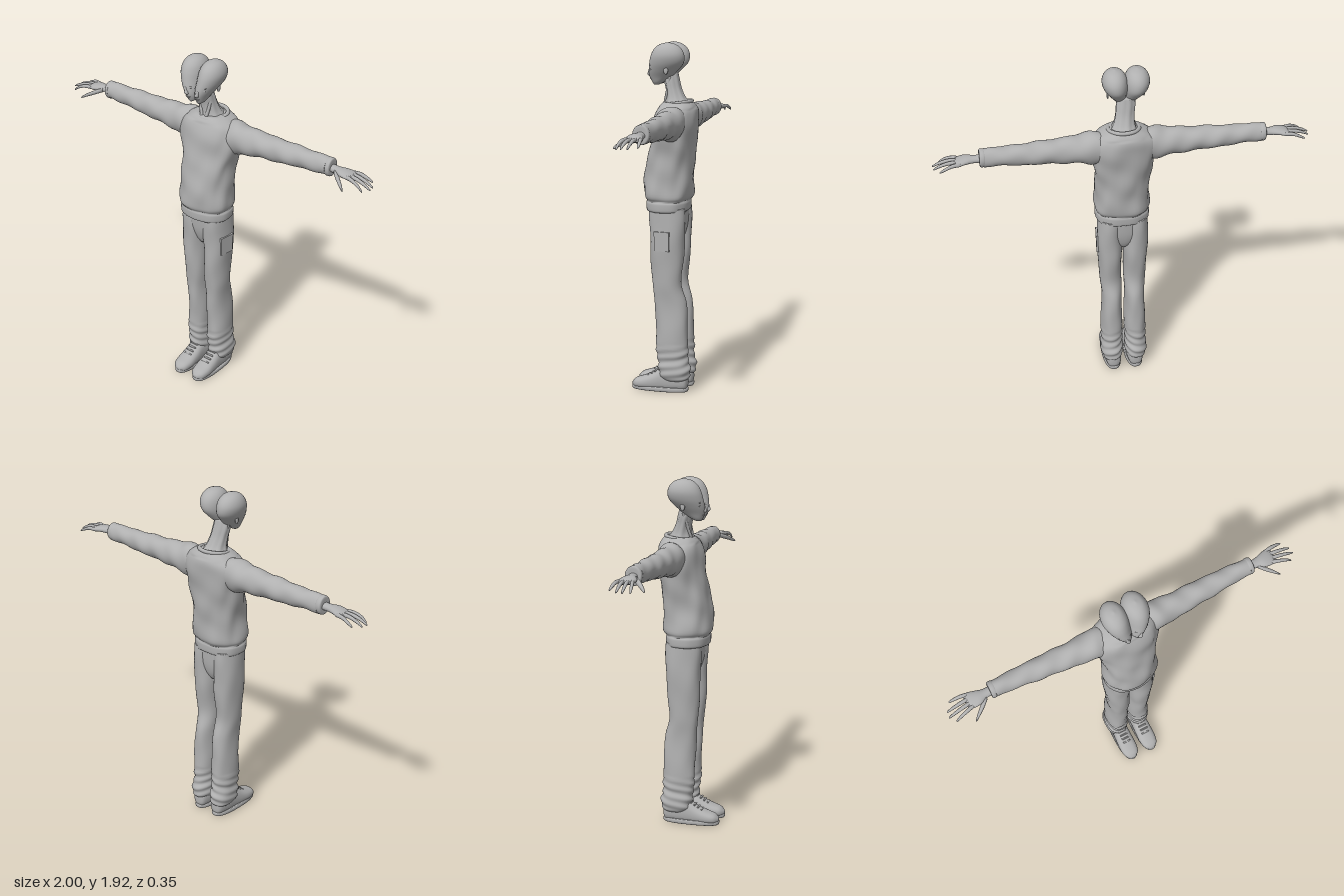
import * as THREE from 'three';

const grey = new THREE.MeshStandardMaterial({ color: 0xb0b0b0 });
grey.name = 'plain grey';

// Catmull-Rom blend of four values
function spline(a, b, c, d, t) {
  const v0 = (c - a) / 2, v1 = (d - b) / 2;
  return (2 * b - 2 * c + v0 + v1) * t ** 3 + (3 * c - 3 * b - 2 * v0 - v1) * t * t + v0 * t + b;
}

// Closed body through oval sections [position on axis, centre a, centre b, radius a, radius b].
// Centres are (x,z) for axis y, (y,z) for axis x, (x,y) for axis z.
function loft(axis, rows, { seg = 32, steps = 5, square = 1, fold = () => 0 } = {}) {
  const pos = [], idx = [];
  const place = (t, a, b, da, db) => {
    if (axis === 'y') pos.push(a + da, t, b + db);
    else if (axis === 'x') pos.push(t, a - da, b + db);
    else pos.push(a - da, b + db, t);
  };
  const soft = (v) => Math.sign(v) * Math.abs(v) ** square;
  const rings = (rows.length - 1) * steps + 1;
  for (let r = 0; r < rings; r++) {
    const i = Math.min(Math.floor(r / steps), rows.length - 2), f = r / steps - i;
    const at = (k) => rows[Math.max(0, Math.min(rows.length - 1, k))];
    const [t, a, b, ra, rb] = rows[0].map((_, k) =>
      spline(at(i - 1)[k], at(i)[k], at(i + 1)[k], at(i + 2)[k], f));
    for (let s = 0; s < seg; s++) {
      const th = (s / seg) * Math.PI * 2, w = 1 + fold(t, th);
      place(t, a, b, ra * w * soft(Math.cos(th)), rb * w * soft(Math.sin(th)));
    }
  }
  for (let r = 0; r < rings - 1; r++) for (let s = 0; s < seg; s++) {
    const p = r * seg + s, q = r * seg + (s + 1) % seg;
    idx.push(p, p + seg, q, q, p + seg, q + seg);
  }
  // end caps
  const first = rows[0], last = rows[rows.length - 1], c0 = pos.length / 3, top = (rings - 1) * seg;
  place(first[0], first[1], first[2], 0, 0);
  place(last[0], last[1], last[2], 0, 0);
  for (let s = 0; s < seg; s++) {
    const n = (s + 1) % seg;
    idx.push(c0, s, n, c0 + 1, top + n, top + s);
  }
  const g = new THREE.BufferGeometry();
  g.setAttribute('position', new THREE.Float32BufferAttribute(pos, 3));
  g.setIndex(idx);
  g.computeVertexNormals();
  return g;
}

// Copy a geometry to the other side of x = 0
function mirrored(geo) {
  const g = geo.clone(), p = g.attributes.position, i = g.index.array;
  for (let k = 0; k < p.count; k++) p.setX(k, -p.getX(k));
  for (let k = 0; k < i.length; k += 3) [i[k], i[k + 1]] = [i[k + 1], i[k]];
  g.computeVertexNormals();
  return g;
}

function add(group, name, geo) {
  const m = new THREE.Mesh(geo, grey);
  m.name = name;
  group.add(m);
}

function addPair(group, name, geo) {
  add(group, 'left' + name, geo);
  add(group, 'right' + name, mirrored(geo));
}

const ball = (x, y, z, rx, ry, rz) =>
  new THREE.SphereGeometry(1, 16, 12).scale(rx, ry, rz).translate(x, y, z);

// Cloth folds
const torsoFold = (y, a) => y > 1.57 || y < 1.07 ? 0.008 * Math.sin(9 * a)
  : 0.022 * Math.sin(5 * a + 22 * y) + 0.014 * Math.sin(3 * a - 40 * y + 1) + 0.008 * Math.sin(11 * a + 15 * y);
const sleeveFold = (x, a) => 0.035 * Math.sin(2 * a + 48 * x) + 0.025 * Math.sin(3 * a - 31 * x + 1);
const legFold = (y, a) => (y < 0.26 ? 0.045 * Math.sin(130 * y + 2 * a) : 0.022 * Math.sin(24 * y + 2 * a))
  + 0.015 * Math.sin(5 * a - 17 * y);

function buildHead(side) {
  const head = new THREE.Group();
  head.name = side > 0 ? 'leftHead' : 'rightHead';
  // narrow jaw widening into a domed skull, leaning outward; x centre is relative to the pair
  const skull = loft('y', [
    [1.693, 0.026, 0.05, 0.008, 0.014], [1.705, 0.027, 0.042, 0.022, 0.03],
    [1.735, 0.031, 0.026, 0.036, 0.06], [1.77, 0.041, 0.008, 0.05, 0.08],
    [1.81, 0.052, -0.012, 0.062, 0.094], [1.85, 0.058, -0.02, 0.066, 0.092],
    [1.885, 0.059, -0.022, 0.057, 0.076], [1.91, 0.059, -0.022, 0.036, 0.046],
    [1.921, 0.059, -0.022, 0.004, 0.005]]);
  const nose = loft('y', [
    [1.738, 0.033, 0.082, 0.006, 0.006], [1.748, 0.034, 0.087, 0.012, 0.012],
    [1.765, 0.039, 0.084, 0.008, 0.01], [1.795, 0.047, 0.076, 0.005, 0.006]], { seg: 12, steps: 3 });
  const parts = [['skull', skull], ['nose', nose],
    ['upperLip', ball(0.03, 1.726, 0.078, 0.015, 0.004, 0.008)],
    ['lowerLip', ball(0.029, 1.718, 0.072, 0.013, 0.004, 0.008)],
    ['outerEye', ball(0.066, 1.778, 0.068, 0.012, 0.007, 0.008)],
    ['innerEye', ball(0.022, 1.778, 0.071, 0.012, 0.007, 0.008)],
    ['outerBrow', ball(0.068, 1.797, 0.068, 0.016, 0.005, 0.008)],
    ['ear', ball(0.095, 1.775, -0.02, 0.006, 0.022, 0.013)]];
  for (const [name, geo] of parts) add(head, name, side > 0 ? geo : mirrored(geo));
  head.position.x = -0.02;
  return head;
}

export function createModel() {
  const model = new THREE.Group();
  model.name = 'twoHeadedFigure';
  model.add(buildHead(1), buildHead(-1));

  // Shared neck with raised cords
  add(model, 'neck', loft('y', [
    [1.55, 0, -0.065, 0.085, 0.08], [1.59, -0.002, -0.065, 0.07, 0.07],
    [1.625, -0.006, -0.055, 0.056, 0.052], [1.67, -0.012, -0.042, 0.05, 0.042],
    [1.72, -0.018, -0.028, 0.05, 0.042], [1.76, -0.02, -0.02, 0.045, 0.04]],
    { fold: (y, a) => 0.05 * Math.sin(8 * a + 6 * y) }));
  for (const s of [-1, 1]) {
    const path = new THREE.CatmullRomCurve3([
      new THREE.Vector3(-0.005 + s * 0.012, 1.585, 0.005), new THREE.Vector3(-0.01 + s * 0.028, 1.65, -0.012),
      new THREE.Vector3(-0.02 + s * 0.045, 1.74, -0.03)]);
    add(model, s > 0 ? 'leftNeckCord' : 'rightNeckCord', new THREE.TubeGeometry(path, 12, 0.009, 8));
  }

  // Loose sweater with gathered hem
  add(model, 'sweater', loft('y', [
    [1.01, 0, -0.018, 0.138, 0.108], [1.02, 0, -0.018, 0.147, 0.117],
    [1.055, 0, -0.018, 0.148, 0.119], [1.07, 0, -0.018, 0.143, 0.117],
    [1.1, 0, -0.018, 0.153, 0.132], [1.2, 0.003, -0.022, 0.143, 0.132],
    [1.31, 0, -0.035, 0.15, 0.126], [1.4, 0, -0.048, 0.166, 0.118],
    [1.49, 0, -0.058, 0.182, 0.117], [1.545, 0, -0.065, 0.17, 0.11],
    [1.58, 0, -0.068, 0.13, 0.096], [1.602, 0, -0.07, 0.088, 0.078]],
    { seg: 48, square: 0.88, fold: torsoFold }));
  add(model, 'collar', new THREE.TorusGeometry(0.082, 0.011, 10, 40)
    .rotateX(Math.PI / 2).scale(1, 1, 0.95).rotateX(0.14).translate(0, 1.597, -0.066));

  // Sleeves with cuffs
  addPair(model, 'Sleeve', loft('x', [
    [0.1, 1.5, -0.07, 0.08, 0.075], [0.17, 1.497, -0.07, 0.09, 0.078], [0.24, 1.498, -0.072, 0.078, 0.07],
    [0.36, 1.5, -0.075, 0.066, 0.063], [0.48, 1.502, -0.08, 0.06, 0.058],
    [0.6, 1.505, -0.083, 0.053, 0.05], [0.7, 1.507, -0.085, 0.05, 0.045],
    [0.735, 1.507, -0.085, 0.05, 0.043]], { steps: 8, fold: sleeveFold }));
  addPair(model, 'Cuff', loft('x', [
    [0.725, 1.507, -0.085, 0.044, 0.038], [0.732, 1.507, -0.085, 0.05, 0.044],
    [0.75, 1.507, -0.085, 0.05, 0.044], [0.757, 1.507, -0.085, 0.044, 0.038],
    [0.757, 1.506, -0.085, 0.022, 0.024]], { steps: 3 }));

  // Hands with spread fingers
  addPair(model, 'Palm', loft('x', [
    [0.74, 1.504, -0.085, 0.02, 0.025], [0.785, 1.503, -0.083, 0.019, 0.026],
    [0.825, 1.503, -0.08, 0.019, 0.04], [0.865, 1.498, -0.085, 0.016, 0.046],
    [0.89, 1.494, -0.087, 0.007, 0.034]], { seg: 20 }));
  const fingers = [ // name, root z, tip x, tip y, tip z
    ['IndexFinger', -0.054, 0.972, 1.462, -0.028], ['MiddleFinger', -0.075, 1.0, 1.466, -0.06],
    ['RingFinger', -0.097, 0.995, 1.466, -0.092], ['LittleFinger', -0.118, 0.965, 1.47, -0.135]];
  for (const [name, z, tx, ty, tz] of fingers) {
    const mid = (f) => z + (tz - z) * f, x = (f) => 0.855 + (tx - 0.855) * f;
    addPair(model, name, loft('x', [
      [x(0), 1.498, z, 0.011, 0.011], [x(0.4), 1.498, mid(0.5), 0.01, 0.01],
      [x(0.75), 1.484, mid(0.85), 0.008, 0.008], [x(0.96), ty + 0.003, mid(0.98), 0.005, 0.005],
      [tx, ty, tz, 0.001, 0.001]], { seg: 10, steps: 3 }));
  }
  addPair(model, 'Thumb', loft('x', [
    [0.785, 1.5, -0.065, 0.013, 0.015], [0.82, 1.486, -0.035, 0.013, 0.015],
    [0.855, 1.47, -0.008, 0.01, 0.011], [0.878, 1.457, 0.01, 0.006, 0.006],
    [0.885, 1.453, 0.014, 0.001, 0.001]], { seg: 10, steps: 3 }));

  // Baggy trousers bunched at the ankles
  addPair(model, 'TrouserLeg', loft('y', [
    [0.065, 0.066, -0.068, 0.045, 0.066], [0.085, 0.069, -0.07, 0.058, 0.082],
    [0.135, 0.07, -0.068, 0.062, 0.09], [0.18, 0.067, -0.06, 0.058, 0.085],
    [0.23, 0.068, -0.056, 0.06, 0.089], [0.35, 0.066, -0.054, 0.059, 0.089],
    [0.5, 0.065, -0.045, 0.055, 0.088], [0.62, 0.068, -0.026, 0.06, 0.081],
    [0.8, 0.072, -0.03, 0.067, 0.094], [0.95, 0.071, -0.028, 0.069, 0.098],
    [1.03, 0.069, -0.028, 0.068, 0.097]], { steps: 8, square: 0.9, fold: legFold }));
  add(model, 'trouserSeat', loft('y', [
    [0.84, 0, -0.03, 0.02, 0.06], [0.88, 0, -0.03, 0.08, 0.078], [0.94, 0, -0.028, 0.125, 0.092],
    [1.03, 0, -0.026, 0.136, 0.098]], { square: 0.85 }));
  add(model, 'sidePocket', new THREE.BoxGeometry(0.012, 0.1, 0.085).rotateY(-0.12).translate(0.137, 0.85, -0.015));
  add(model, 'pocketFlap', new THREE.BoxGeometry(0.016, 0.025, 0.09).rotateY(-0.12).translate(0.138, 0.895, -0.015));

  // Low shoes on flat soles
  const shoe = loft('z', [
    [-0.145, 0.064, 0.055, 0.012, 0.02], [-0.13, 0.064, 0.062, 0.038, 0.052],
    [-0.07, 0.064, 0.068, 0.047, 0.07], [-0.005, 0.064, 0.064, 0.047, 0.068],
    [0.05, 0.064, 0.05, 0.05, 0.05], [0.105, 0.064, 0.04, 0.051, 0.036],
    [0.15, 0.064, 0.034, 0.04, 0.026], [0.172, 0.064, 0.028, 0.012, 0.01]], { seg: 24, square: 0.85 });
  const p = shoe.attributes.position;
  for (let i = 0; i < p.count; i++) p.setY(i, Math.max(0.012, p.getY(i)));
  shoe.computeVertexNormals();
  addPair(model, 'Shoe', shoe);
  addPair(model, 'Sole', loft('y', [
    [0, 0.064, 0.014, 0.047, 0.153], [0.005, 0.064, 0.014, 0.052, 0.16],
    [0.02, 0.064, 0.014, 0.053, 0.161], [0.026, 0.064, 0.014, 0.048, 0.155]],
    { steps: 2, square: 0.8 }));
  for (let i = 0; i < 4; i++) {
    addPair(model, 'Lace' + (i + 1), new THREE.CapsuleGeometry(0.005, 0.04, 4, 8)
      .rotateZ(Math.PI / 2).translate(0.064, 0.121 - i * 0.0125, 0.018 + i * 0.02));
  }
  return model;
}
